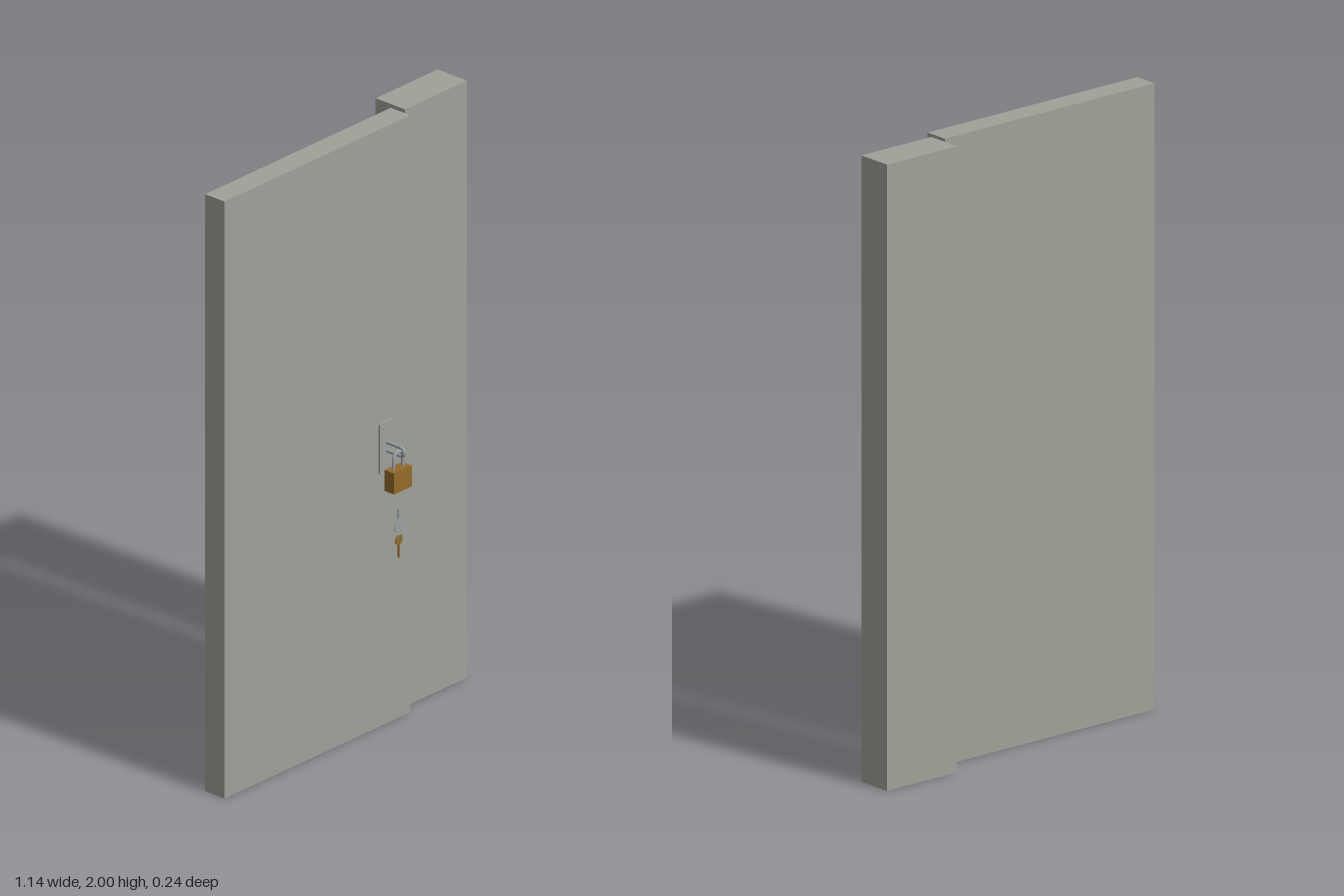
import * as THREE from 'three';

export function createModel() {
  const root = new THREE.Group();
  const mat = (name, color) => {
    const m = new THREE.MeshStandardMaterial({ color });
    m.name = name;
    return m;
  };
  const paint = mat('grey door paint', 0x9da298);
  const steel = mat('steel', 0x9a9fa4);
  const brass = mat('brass', 0x94692a);

  const add = (parent, name, geo, material, x = 0, y = 0, z = 0) => {
    const m = new THREE.Mesh(geo, material);
    m.name = name;
    m.position.set(x, y, z);
    parent.add(m);
    return m;
  };
  const group = (name, x, y, z) => {
    const g = new THREE.Group();
    g.name = name;
    g.position.set(x, y, z);
    root.add(g);
    return g;
  };
  // Flat plate with rounded shapes, centred on its depth
  const plate = (shape, depth) => new THREE.ExtrudeGeometry(shape,
    { depth, bevelEnabled: false, curveSegments: 16 }).translate(0, 0, -depth / 2);
  const hole = (x, y, r) => new THREE.Path().absarc(x, y, r, 0, Math.PI * 2, true);
  // U-shaped rod: two legs along +y joined by a half circle
  const uRod = (halfWidth, legBottom, legTop, r) => {
    const path = new THREE.CurvePath();
    const pts = [new THREE.Vector3(-halfWidth, legBottom, 0)];
    for (let i = 0; i <= 12; i++) {
      const a = Math.PI * (1 - i / 12);
      pts.push(new THREE.Vector3(Math.cos(a) * halfWidth, legTop + Math.sin(a) * halfWidth, 0));
    }
    pts.push(new THREE.Vector3(halfWidth, legBottom, 0));
    for (let i = 1; i < pts.length; i++) path.add(new THREE.LineCurve3(pts[i - 1], pts[i]));
    return new THREE.TubeGeometry(path, 60, r, 10);
  };

  // Door leaf and the post beside it
  add(root, 'door', new THREE.BoxGeometry(0.84, 2, 0.08), paint, -0.15, 1, 0);
  add(root, 'post', new THREE.BoxGeometry(0.28, 2, 0.12), paint, 0.43, 1, -0.06);

  // Hasp plate with rounded corners, screws and staple
  const hasp = group('hasp', 0.16, 0.93, 0.0425);
  const w = 0.033, h = 0.085, c = 0.008;
  const s = new THREE.Shape();
  s.moveTo(-w + c, -h).lineTo(w - c, -h).quadraticCurveTo(w, -h, w, -h + c)
    .lineTo(w, h - c).quadraticCurveTo(w, h, w - c, h)
    .lineTo(-w + c, h).quadraticCurveTo(-w, h, -w, h - c)
    .lineTo(-w, -h + c).quadraticCurveTo(-w, -h, -w + c, -h);
  add(hasp, 'haspPlate', plate(s, 0.005), paint);
  for (const sx of [-1, 1]) for (const sy of [-1, 1]) {
    const screw = add(hasp, 'screw', new THREE.CylinderGeometry(0.003, 0.004, 0.002, 12),
      paint, sx * 0.022, sy * 0.07, 0.003);
    screw.rotation.x = Math.PI / 2;
  }
  const staple = add(hasp, 'staple', uRod(0.014, 0, 0.0575, 0.006), steel);
  staple.rotation.set(Math.PI / 2, Math.PI / 2, 0, 'XYZ');

  // Padlock hanging from the staple
  const lock = group('padlock', 0.16, 0.8375, 0.09);
  add(lock, 'lockBody', new THREE.BoxGeometry(0.08, 0.07, 0.04), brass);
  add(lock, 'shackle', uRod(0.021, 0.02, 0.068, 0.005), steel);

  // Key ring joining a steel key above and a brass key below
  const keys = group('keys', 0.16, 0.658, 0.0925);
  const ring = add(keys, 'keyRing', new THREE.TorusGeometry(0.013, 0.0012, 8, 28), steel);
  ring.rotation.y = Math.PI / 2;

  const steelKey = new THREE.Shape();
  steelKey.moveTo(0, 0.003).bezierCurveTo(0.013, 0.001, 0.024, 0.012, 0.02, 0.026)
    .bezierCurveTo(0.016, 0.036, 0.006, 0.04, 0.004, 0.05)
    .lineTo(0.004, 0.076).lineTo(0, 0.082).lineTo(-0.004, 0.076).lineTo(-0.004, 0.05)
    .bezierCurveTo(-0.006, 0.04, -0.016, 0.036, -0.02, 0.026)
    .bezierCurveTo(-0.024, 0.012, -0.013, 0.001, 0, 0.003);
  steelKey.holes.push(hole(0, 0.011, 0.004));
  add(keys, 'steelKey', plate(steelKey, 0.003), steel);

  const brassKey = new THREE.Shape();
  const a = 0.24;
  brassKey.absarc(0, -0.027, 0.016, -Math.PI / 2 + a, Math.PI * 1.5 - a, false);
  brassKey.lineTo(-0.004, -0.08).lineTo(0, -0.087).lineTo(0.004, -0.082)
    .lineTo(0.0025, -0.075).lineTo(0.004, -0.069).lineTo(0.0025, -0.062).lineTo(0.004, -0.056);
  brassKey.holes.push(hole(0, -0.018, 0.004));
  add(keys, 'brassKey', plate(brassKey, 0.003), brass);

  return root;
}
